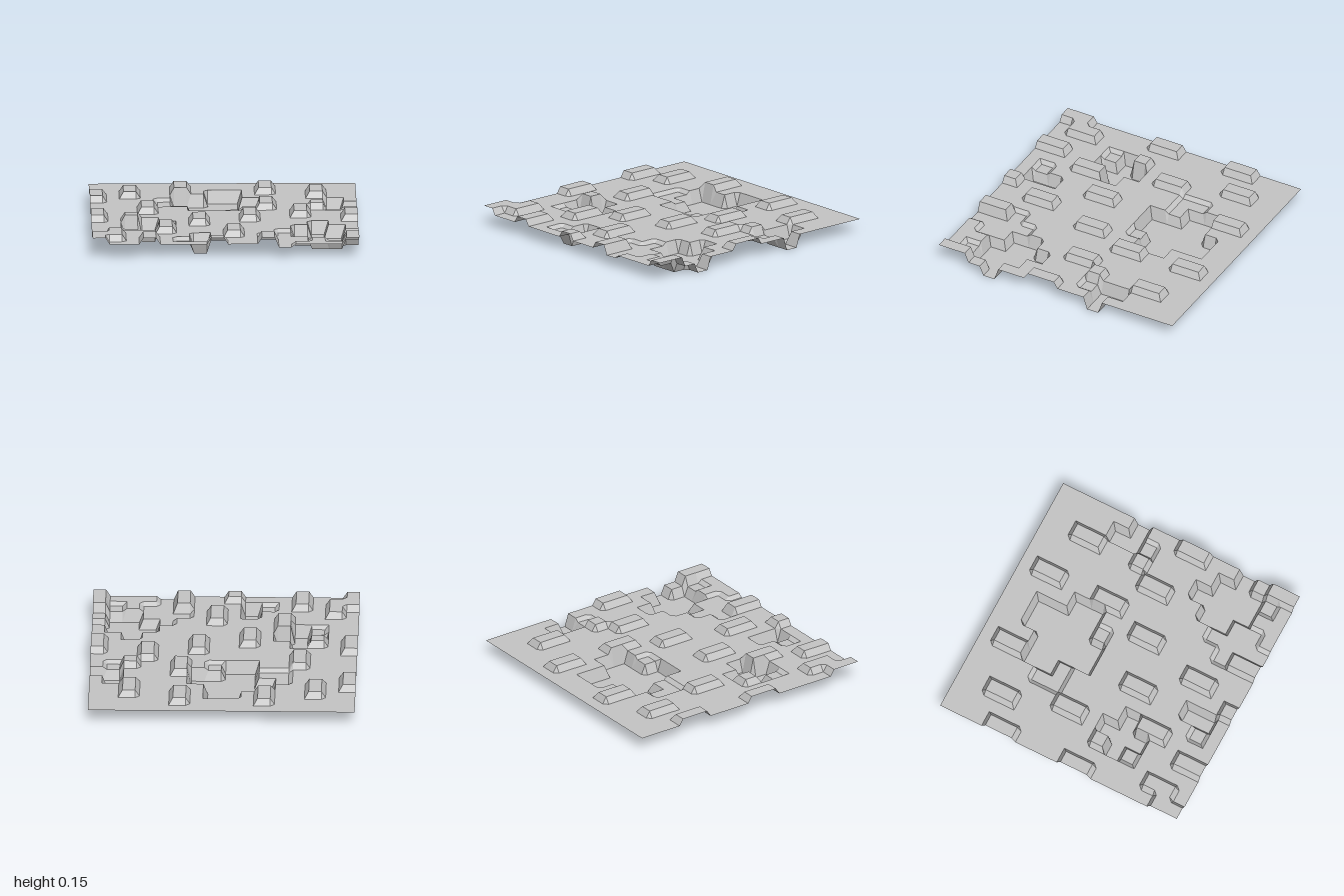
import * as THREE from 'three';

// Terrain plan, back row first: # raised block, . ground, s shallow, o deep pit
const PLAN = [
  '................',
  '.....#....#.....',
  '..#..#.oo.#..#..',
  '#.#..oooo....#..',
  '#...sooooo....o.',
  '....ssoooo#...oo',
  '...#..oos.#..#s.',
  '...#........#...',
  '#........#..#..#',
  '#.#o..#..#.....#',
  '..ooo.#......o..',
  '..so#.......ooo.',
  '....#...#..soooo',
  '.#....o.#.sssoos',
  '##.#.so...#ss.s#',
  '#..#...#..#s...#',
];
const HEIGHT = { '#': 0.15, '.': 0.1, s: 0.075, o: 0 };
const FLAT = 0.095; // width of a cell's level top
const PITCH = 0.127; // cell plus the slope to the next cell

export function createModel() {
  const group = new THREE.Group();
  group.name = 'terrainTile';
  const stone = new THREE.MeshStandardMaterial({
    color: 0xc4c4c4, flatShading: true, side: THREE.DoubleSide,
  });
  stone.name = 'grey stone';

  // Two grid lines per cell, so level tops alternate with narrow slopes
  const n = PLAN.length * 2;
  const line = (i) => -1 + Math.floor(i / 2) * PITCH + (i % 2) * FLAT;
  const positions = [];
  const indices = [];
  for (let r = 0; r < n; r++) {
    for (let c = 0; c < n; c++) {
      positions.push(line(c), HEIGHT[PLAN[r >> 1][c >> 1]], line(r));
      if (r < n - 1 && c < n - 1) {
        const a = r * n + c;
        indices.push(a, a + n, a + 1, a + 1, a + n, a + n + 1);
      }
    }
  }
  const geometry = new THREE.BufferGeometry();
  geometry.setAttribute('position', new THREE.Float32BufferAttribute(positions, 3));
  geometry.setIndex(indices);
  const flat = geometry.toNonIndexed();
  flat.computeVertexNormals();

  const ground = new THREE.Mesh(flat, stone);
  ground.name = 'groundWithBlocksAndPits';
  group.add(ground);
  return group;
}
